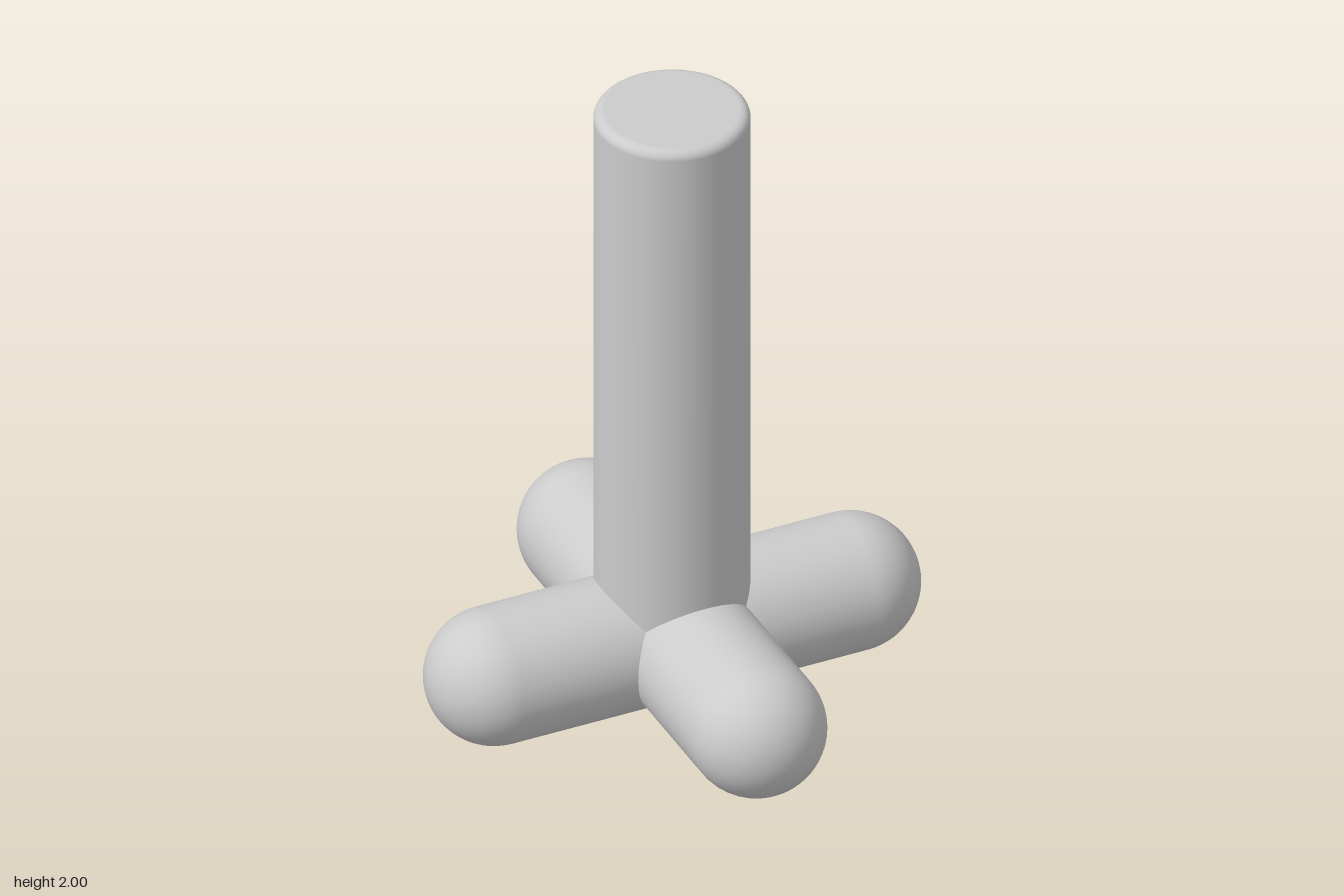
import * as THREE from 'three';

export function createModel() {
  const group = new THREE.Group();
  const material = new THREE.MeshStandardMaterial({ color: 0xcccccc });
  const add = (geometry, name) => {
    const mesh = new THREE.Mesh(geometry, material);
    mesh.name = name;
    group.add(mesh);
    return mesh;
  };

  // two crossed round-ended bars lying on the ground
  const footRadius = 0.204, footLength = 1.54;
  const foot = new THREE.CapsuleGeometry(footRadius, footLength - 2 * footRadius, 16, 48);
  const footX = add(foot, 'footBarSideways');
  footX.rotation.z = Math.PI / 2;
  const footZ = add(foot, 'footBarFrontToBack');
  footZ.rotation.x = Math.PI / 2;
  footX.position.y = footZ.position.y = footRadius;

  // upright post with a rounded top rim
  const r = 0.226, top = 2, fillet = 0.03, base = 0.2;
  const profile = [new THREE.Vector2(0, base), new THREE.Vector2(r - 0.01, base), new THREE.Vector2(r, base + 0.01)];
  for (let i = 0; i <= 8; i++) {
    const a = (i / 8) * Math.PI / 2;
    profile.push(new THREE.Vector2(r - fillet + fillet * Math.cos(a), top - fillet + fillet * Math.sin(a)));
  }
  profile.push(new THREE.Vector2(r - fillet - 0.004, top), new THREE.Vector2(0, top));
  add(new THREE.LatheGeometry(profile, 64), 'post');

  return group;
}
